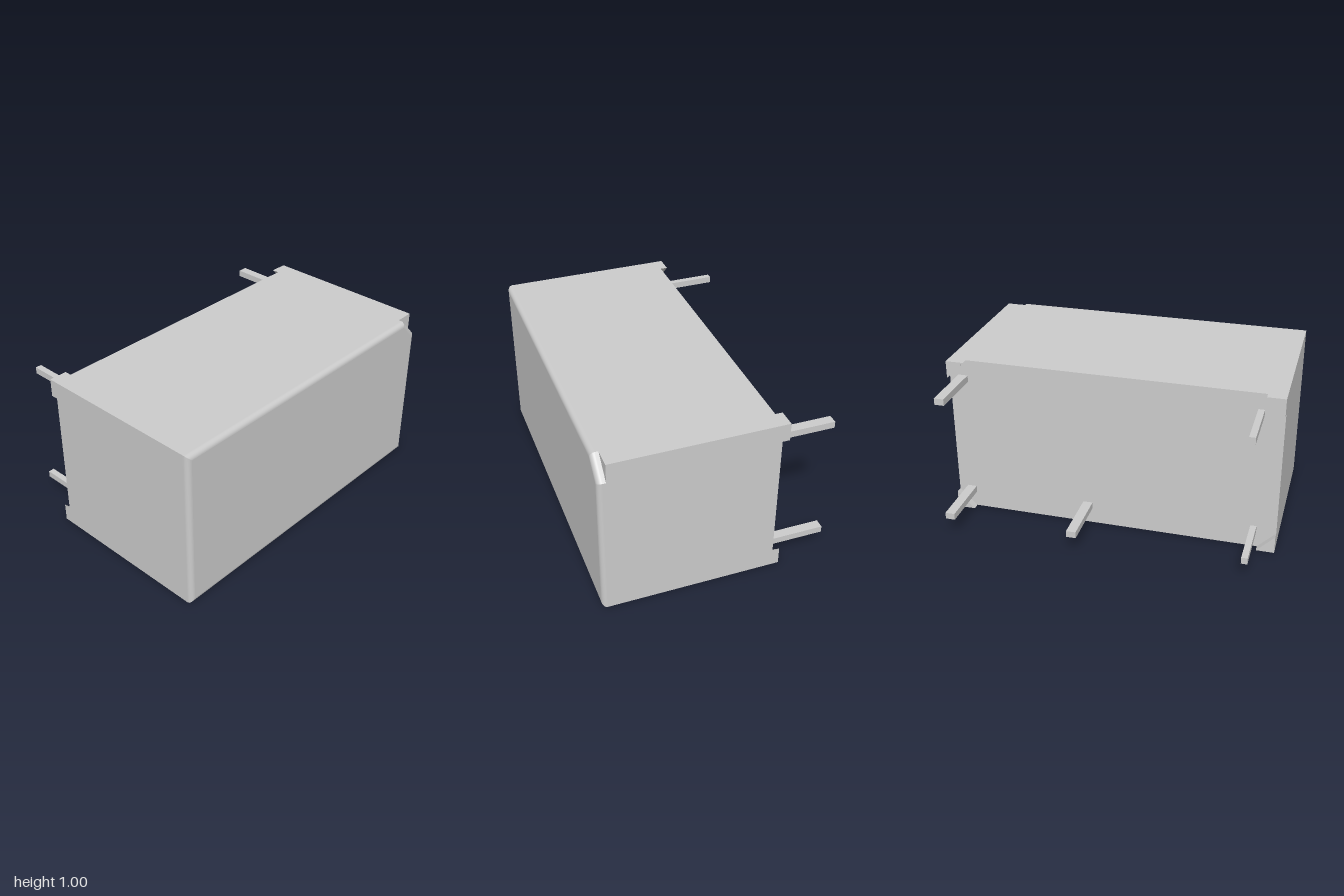
import * as THREE from 'three';

const material = new THREE.MeshStandardMaterial({ color: 0xcccccc, side: THREE.DoubleSide });
const BACK = -0.342, STEP = 0.635, FRONT = 0.683, RADIUS = 0.03;

function addBox(parent, name, x0, x1, y0, y1, z0, z1) {
  const mesh = new THREE.Mesh(new THREE.BoxGeometry(x1 - x0, y1 - y0, z1 - z0), material);
  mesh.position.set((x0 + x1) / 2, (y0 + y1) / 2, (z0 + z1) / 2);
  mesh.name = name;
  parent.add(mesh);
}

// Face outline with one cut corner, moved inwards by d
function outline(d) {
  const x = 1 - d, y = 1 - d, cut = 1.883 - d * Math.SQRT2;
  return [[-x, d], [x, d], [x, cut - x], [cut - y, y], [-x, y]];
}

// Front plate: one strip per side, rolled over smoothly into the flat face
function frontPlate() {
  const group = new THREE.Group();
  group.name = 'frontPlate';
  const rings = [{ z: STEP, points: outline(0) }];
  const segments = 8;
  for (let i = 0; i <= segments; i++) {
    const a = (i / segments) * Math.PI / 2;
    rings.push({
      z: FRONT - RADIUS + RADIUS * Math.sin(a),
      points: outline(RADIUS * (1 - Math.cos(a))),
    });
  }
  for (let s = 0; s < 5; s++) {
    const positions = [], index = [];
    rings.forEach(({ z, points }, r) => {
      positions.push(...points[s], z, ...points[(s + 1) % 5], z);
      if (r > 0) {
        const a = 2 * r - 2;
        index.push(a, a + 1, a + 3, a, a + 3, a + 2);
      }
    });
    const strip = new THREE.BufferGeometry();
    strip.setAttribute('position', new THREE.Float32BufferAttribute(positions, 3));
    strip.setIndex(index);
    strip.computeVertexNormals();
    const mesh = new THREE.Mesh(strip, material);
    mesh.name = 'roundedEdge';
    group.add(mesh);
  }
  const shape = new THREE.Shape(outline(RADIUS).map(([x, y]) => new THREE.Vector2(x, y)));
  const face = new THREE.Mesh(new THREE.ShapeGeometry(shape), material);
  face.position.z = FRONT;
  face.name = 'frontFace';
  group.add(face);
  return group;
}

// Triangular standoff in a back corner; sx and sy choose the corner
function cornerFoot(sx, sy) {
  const leg = 0.108, y = sy > 0 ? 1 : 0;
  const shape = new THREE.Shape([
    new THREE.Vector2(sx, y),
    new THREE.Vector2(sx * (1 - leg), y),
    new THREE.Vector2(sx, y - sy * leg),
  ]);
  const geometry = new THREE.ExtrudeGeometry(shape, { depth: 0.043, bevelEnabled: false });
  const mesh = new THREE.Mesh(geometry, material);
  mesh.position.z = BACK - 0.043;
  mesh.name = 'cornerFoot';
  return mesh;
}

export function createModel() {
  const model = new THREE.Group();
  model.name = 'relay';

  addBox(model, 'housing', -1, 1, 0, 1, BACK, STEP);
  model.add(frontPlate());

  for (const sx of [-1, 1]) for (const sy of [-1, 1]) model.add(cornerFoot(sx, sy));

  // Contact pins: x range and lower edge
  const pins = [
    [-0.882, -0.845, 0.10], [-0.882, -0.845, 0.862],
    [0.125, 0.183, 0.10],
    [0.887, 0.945, 0.10], [0.887, 0.945, 0.862],
  ];
  for (const [x0, x1, y] of pins) addBox(model, 'pin', x0, x1, y, y + 0.04, -0.683, BACK);

  return model;
}
